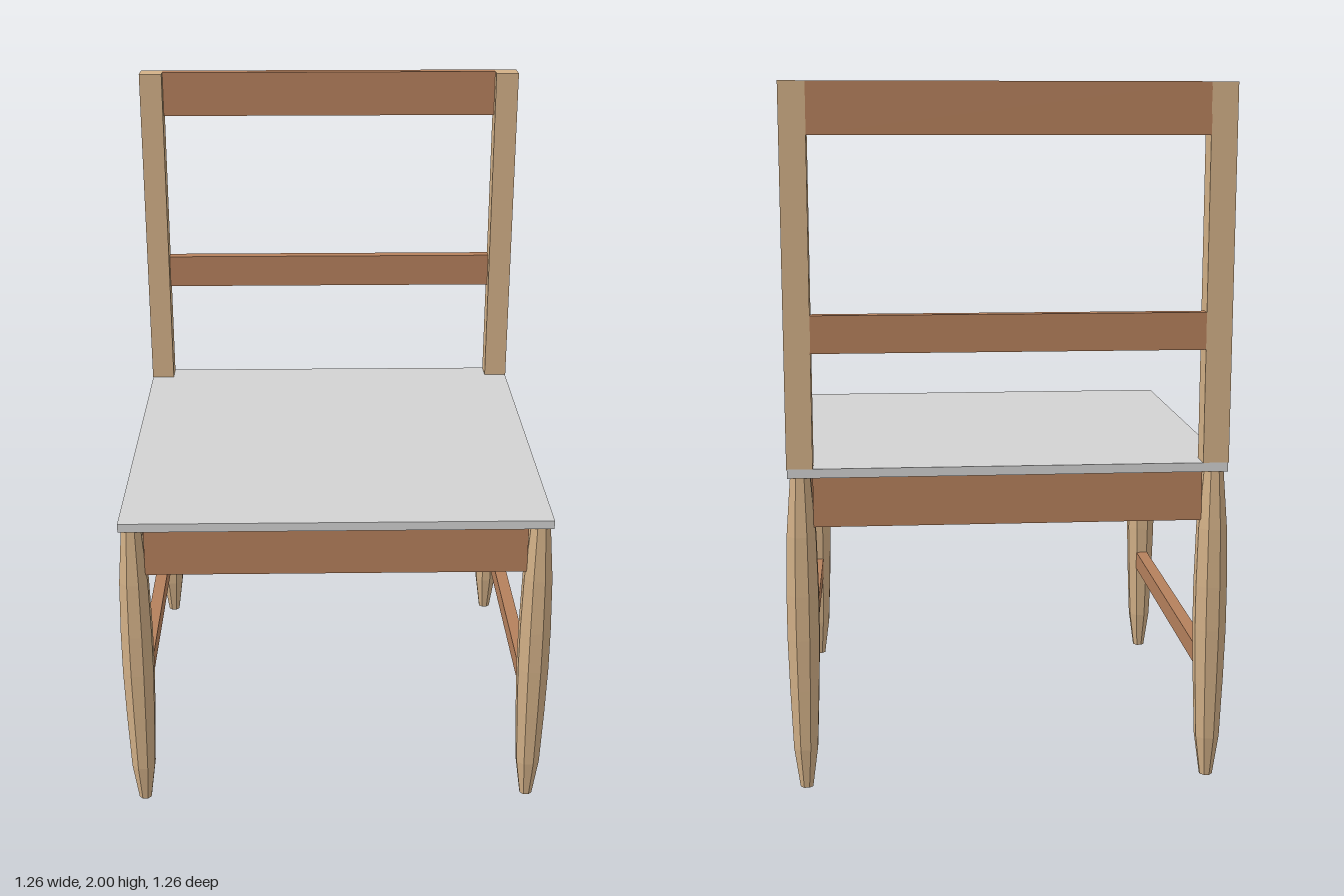
import * as THREE from 'three';

export function createModel() {
  const chair = new THREE.Group();
  chair.name = 'chair';

  const material = (name, color, flatShading = false) => {
    const m = new THREE.MeshStandardMaterial({ color, flatShading });
    m.name = name;
    return m;
  };
  const paleWood = material('paleWood', 0xd2b087, true);
  const brownWood = material('brownWood', 0xb5805c);
  const seatGrey = material('seatGrey', 0xd2d2d2);

  const add = (name, geometry, mat, x, y, z) => {
    const mesh = new THREE.Mesh(geometry, mat);
    mesh.name = name;
    mesh.position.set(x, y, z);
    chair.add(mesh);
  };
  const box = (name, mat, w, h, d, x, y, z) =>
    add(name, new THREE.BoxGeometry(w, h, d), mat, x, y, z);

  const LEG = 0.585; // leg centre offset in x and z
  const SPAN = 1.1; // length of the rails between legs

  // Eight-sided legs, thickest in the middle; radii measured to the flats
  const profile = [
    [0, 0], [0.018, 0], [0.034, 0.12], [0.041, 0.3], [0.045, 0.45],
    [0.045, 0.58], [0.041, 0.75], [0.028, 0.92], [0, 0.92],
  ].map(([r, y]) => new THREE.Vector2(r / Math.cos(Math.PI / 8), y));
  const legGeometry = new THREE.LatheGeometry(profile, 8, Math.PI / 8);

  for (const side of [-1, 1]) {
    const hand = side > 0 ? 'left' : 'right';
    add(hand + 'FrontLeg', legGeometry, paleWood, side * LEG, 0, LEG);
    add(hand + 'BackLeg', legGeometry, paleWood, side * LEG, 0, -LEG);
    // Square back post standing on the seat
    box(hand + 'BackPost', paleWood, 0.073, 1.055, 0.073, side * LEG, 1.4725, -LEG);
    // Side apron and stretcher
    box(hand + 'Apron', brownWood, 0.038, 0.145, SPAN, side * LEG, 0.8475, 0);
    box(hand + 'Stretcher', brownWood, 0.038, 0.06, SPAN, side * LEG, 0.33, 0);
  }

  // Front and back aprons
  box('frontApron', brownWood, SPAN, 0.145, 0.038, 0, 0.8475, LEG);
  box('backApron', brownWood, SPAN, 0.145, 0.038, 0, 0.8475, -LEG);

  // Seat board
  box('seat', seatGrey, 1.24, 0.026, 1.24, 0, 0.932, 0);

  // Back rails, set towards the rear of the posts
  box('topRail', brownWood, SPAN, 0.143, 0.037, 0, 1.9285, -0.603);
  box('middleRail', brownWood, SPAN, 0.105, 0.037, 0, 1.32, -0.603);

  return chair;
}
